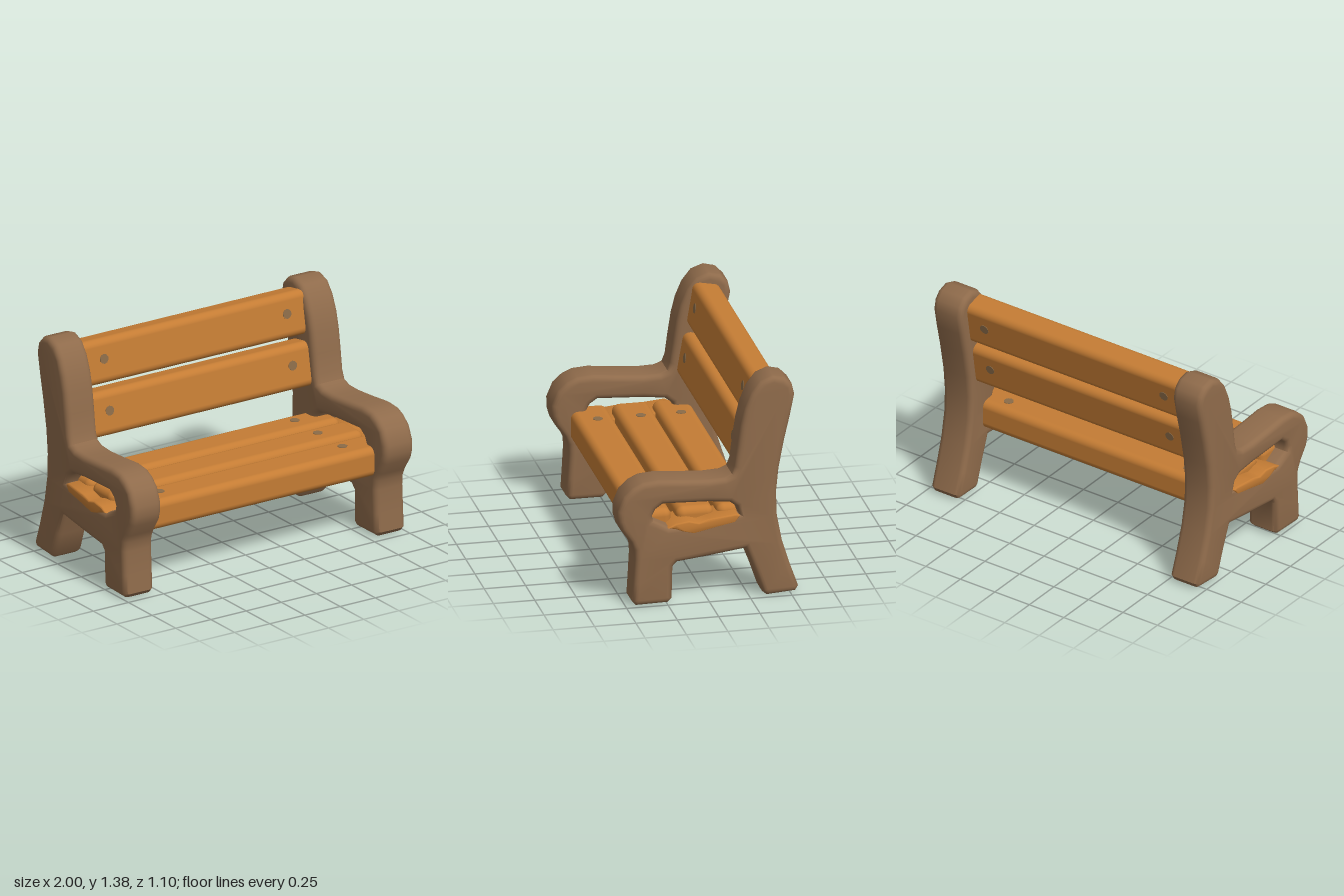
import * as THREE from 'three';
import { toCreasedNormals } from 'three/addons/utils/BufferGeometryUtils.js';
import { RoundedBoxGeometry } from 'three/addons/geometries/RoundedBoxGeometry.js';

const frameBrown = new THREE.MeshStandardMaterial({ color: 0x8f6b4b });
frameBrown.name = 'frame brown';
const plankOrange = new THREE.MeshStandardMaterial({ color: 0xc47c34 });
plankOrange.name = 'plank orange';
const boltGrey = new THREE.MeshStandardMaterial({ color: 0x8a6b48 });
boltGrey.name = 'bolt grey brown';

const toPoints = (list) => list.map(([z, y]) => new THREE.Vector2(z, y));

// Side profile of the end frame as [z, y]
const OUTLINE = [
  // front leg and rounded arm front
  [0.245, 0.012], [0.44, 0.01], [0.462, 0.035], [0.455, 0.15], [0.447, 0.3], [0.452, 0.36], [0.475, 0.41],
  [0.53, 0.49], [0.546, 0.545], [0.548, 0.61], [0.51, 0.7], [0.455, 0.75], [0.395, 0.778], [0.3, 0.786],
  // arm top and rising back post
  [0.15, 0.772], [0, 0.762], [-0.1, 0.766], [-0.145, 0.785], [-0.163, 0.83], [-0.18, 0.96], [-0.2, 1.09],
  [-0.225, 1.19], [-0.265, 1.285], [-0.32, 1.355], [-0.395, 1.383], [-0.465, 1.366], [-0.51, 1.32],
  [-0.525, 1.255], [-0.5, 1.13], [-0.465, 0.98], [-0.43, 0.8], [-0.415, 0.65], [-0.42, 0.5],
  // splayed back leg and lower rail
  [-0.45, 0.34], [-0.5, 0.18], [-0.548, 0.045], [-0.53, 0.015], [-0.355, 0.004], [-0.33, 0.025],
  [-0.28, 0.17], [-0.225, 0.31], [0, 0.282], [0.19, 0.262], [0.215, 0.235], [0.22, 0.035],
];

// Opening under the arm
const OPENING = [
  [0.34, 0.565], [0.32, 0.605], [0.275, 0.636], [0, 0.624], [-0.13, 0.61], [-0.17, 0.58],
  [-0.187, 0.53], [-0.05, 0.505], [0.1, 0.49], [0.24, 0.487], [0.335, 0.535],
];

// Plank ends resting in the opening
const SILL = [
  [0.25, 0.485], [0.2, 0.509], [0.12, 0.518], [0.06, 0.503], [0, 0.52], [-0.17, 0.537], [-0.19, 0.525],
  [-0.16, 0.485], [-0.05, 0.465], [0.09, 0.437], [0.15, 0.452], [0.2, 0.475],
];

// Extrudes a side profile along x, drawing the rear slightly inward
function sideExtrude(points, hole, width, bevel, side) {
  const shape = new THREE.Shape(toPoints(points));
  if (hole) shape.holes.push(new THREE.Path(toPoints(hole)));
  const geo = new THREE.ExtrudeGeometry(shape, {
    depth: width - 2 * bevel, bevelEnabled: true, bevelSize: bevel, bevelThickness: bevel,
    bevelOffset: -bevel, bevelSegments: 4,
  });
  geo.translate(0, 0, -(width - 2 * bevel) / 2);
  geo.rotateY(-Math.PI / 2);
  const pos = geo.attributes.position;
  for (let i = 0; i < pos.count; i++) {
    const inward = 0.027 * (0.5 - pos.getZ(i));
    pos.setX(i, pos.getX(i) + side * (0.895 - inward));
  }
  return toCreasedNormals(geo, 0.75);
}

// Rounded plank with bolt plates near both ends
function makePlank(name, length, height, thickness, bothFaces) {
  const plank = new THREE.Group();
  plank.name = name;
  const board = new THREE.Mesh(new RoundedBoxGeometry(length, height, thickness, 4, 0.045), plankOrange);
  board.name = name + 'Board';
  plank.add(board);
  for (const x of [-0.65, 0.65]) {
    for (const face of bothFaces ? [1, -1] : [1]) {
      const bolt = new THREE.Mesh(new THREE.CylinderGeometry(0.03, 0.03, 0.006, 10), boltGrey);
      bolt.name = 'bolt';
      bolt.rotation.x = Math.PI / 2;
      bolt.position.set(x, 0.015, face * thickness / 2);
      plank.add(bolt);
    }
  }
  return plank;
}

export function createModel() {
  const bench = new THREE.Group();
  bench.name = 'bench';

  // End frames
  for (const [side, label] of [[1, 'left'], [-1, 'right']]) {
    const frame = new THREE.Mesh(sideExtrude(OUTLINE, OPENING, 0.21, 0.035, side), frameBrown);
    frame.name = label + 'EndFrame';
    const sill = new THREE.Mesh(sideExtrude(SILL, null, 0.214, 0.01, side), plankOrange);
    sill.name = label + 'PlankEnds';
    bench.add(frame, sill);
  }

  // Backrest planks: centre y, centre z
  for (const [y, z] of [[1.188, -0.36], [0.88, -0.3]]) {
    const plank = makePlank('backPlank', 1.64, 0.275, 0.17, true);
    plank.position.set(0, y, z);
    plank.rotation.x = -0.17;
    bench.add(plank);
  }

  // Seat planks: centre z, depth
  for (const [z, depth] of [[0.322, 0.235], [0.062, 0.225], [-0.182, 0.225]]) {
    const plank = makePlank('seatPlank', 1.8, depth, 0.185, false);
    plank.position.set(0, 0.477, z);
    plank.rotation.x = -Math.PI / 2;
    bench.add(plank);
  }

  return bench;
}
